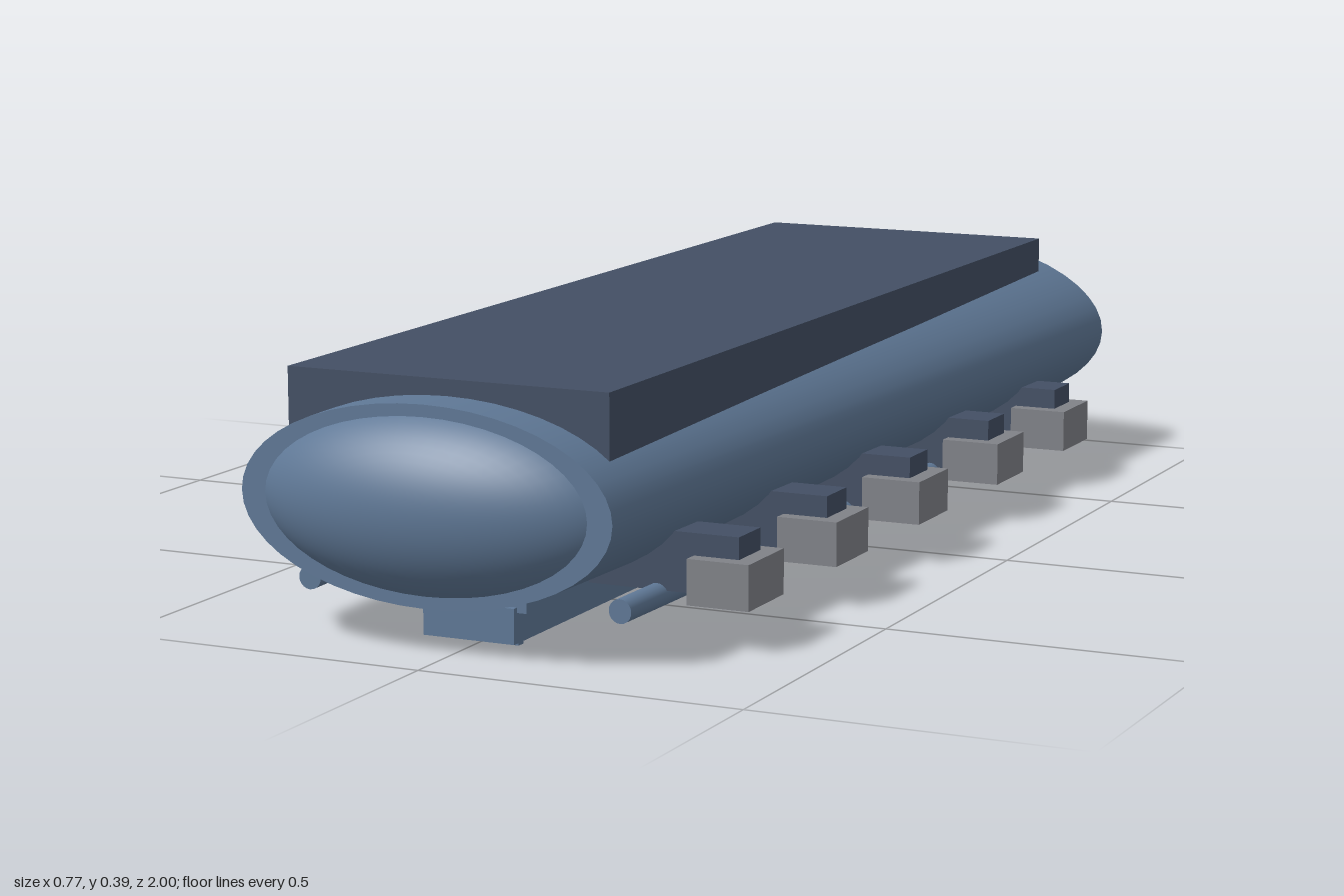
import * as THREE from 'three';

const CX = -0.028, CY = 0.217; // axis of the hull

export function createModel() {
  const model = new THREE.Group();
  const mat = (name, color) => {
    const m = new THREE.MeshStandardMaterial({ color });
    m.name = name;
    return m;
  };
  const blue = mat('steelBlue', 0x5f7896);
  const dark = mat('darkSlate', 0x434f64);
  const grey = mat('grey', 0x808288);

  const add = (name, geometry, material) => {
    const mesh = new THREE.Mesh(geometry, material);
    mesh.name = name;
    model.add(mesh);
    return mesh;
  };
  // Box given by its limits on each axis
  const box = (x0, x1, y0, y1, z0, z1) =>
    new THREE.BoxGeometry(x1 - x0, y1 - y0, z1 - z0)
      .translate((x0 + x1) / 2, (y0 + y1) / 2, (z0 + z1) / 2);

  // Elliptical hull, widening towards the back
  const hull = new THREE.CylinderGeometry(1, 1, 1.86, 48, 1).rotateX(Math.PI / 2);
  const p = hull.attributes.position;
  for (let i = 0; i < p.count; i++) {
    const t = (0.93 - p.getZ(i)) / 1.86;
    p.setX(i, CX + p.getX(i) * THREE.MathUtils.lerp(0.298, 0.357, t));
    p.setY(i, CY + p.getY(i) * THREE.MathUtils.lerp(0.147, 0.161, t));
  }
  hull.computeVertexNormals();
  add('hull', hull, blue);

  // Shallow domes on both ends
  for (const [name, side, rx, ry] of [['frontDome', 1, 0.299, 0.149], ['backDome', -1, 0.355, 0.16]]) {
    const dome = new THREE.SphereGeometry(1, 48, 12, 0, Math.PI * 2, 0, Math.PI / 3)
      .rotateX(side * Math.PI / 2)
      .scale(rx, ry, 0.14)
      .translate(CX, CY, side * 0.86);
    add(name, dome, blue);
  }

  // Wedge-shaped deck slab: flat top, underside rising to the back
  const deck = box(-0.288, 0.231, 0.29, 0.389, -0.86, 0.86);
  const d = deck.attributes.position;
  for (let i = 0; i < d.count; i++) {
    if (d.getY(i) < 0.3 && d.getZ(i) < 0) d.setY(i, 0.33);
  }
  deck.computeVertexNormals();
  add('deckSlab', deck, dark);

  // Stepped keel
  add('keelPlate', box(-0.14, 0.082, 0.052, 0.085, -0.8, 0.83), blue);
  add('keel', box(-0.081, 0.067, 0.007, 0.06, -0.8, 0.84), blue);
  add('keelFoot', box(-0.074, 0.061, 0, 0.01, 0.8, 0.815), blue);

  // Side rods, splayed like the hull
  for (const side of [-1, 1]) {
    const front = new THREE.Vector3(CX + side * 0.254, 0.068, 0.82);
    const back = new THREE.Vector3(CX + side * 0.299, 0.068, -0.83);
    const rod = add(side < 0 ? 'rightRod' : 'leftRod',
      new THREE.CylinderGeometry(0.018, 0.018, front.distanceTo(back), 20), blue);
    rod.position.addVectors(front, back).multiplyScalar(0.5);
    rod.quaternion.setFromUnitVectors(new THREE.Vector3(0, 1, 0), front.sub(back).normalize());
  }

  // Row of pods on arms along the left side
  for (const z of [0.67, 0.355, 0.027, -0.317, -0.637]) {
    add('podArm', box(0.12, 0.359, 0.076, 0.165, z - 0.037, z + 0.037), dark);
    add('pod', box(0.288, 0.385, 0.064, 0.132, z - 0.061, z + 0.061), grey);
  }
  return model;
}
